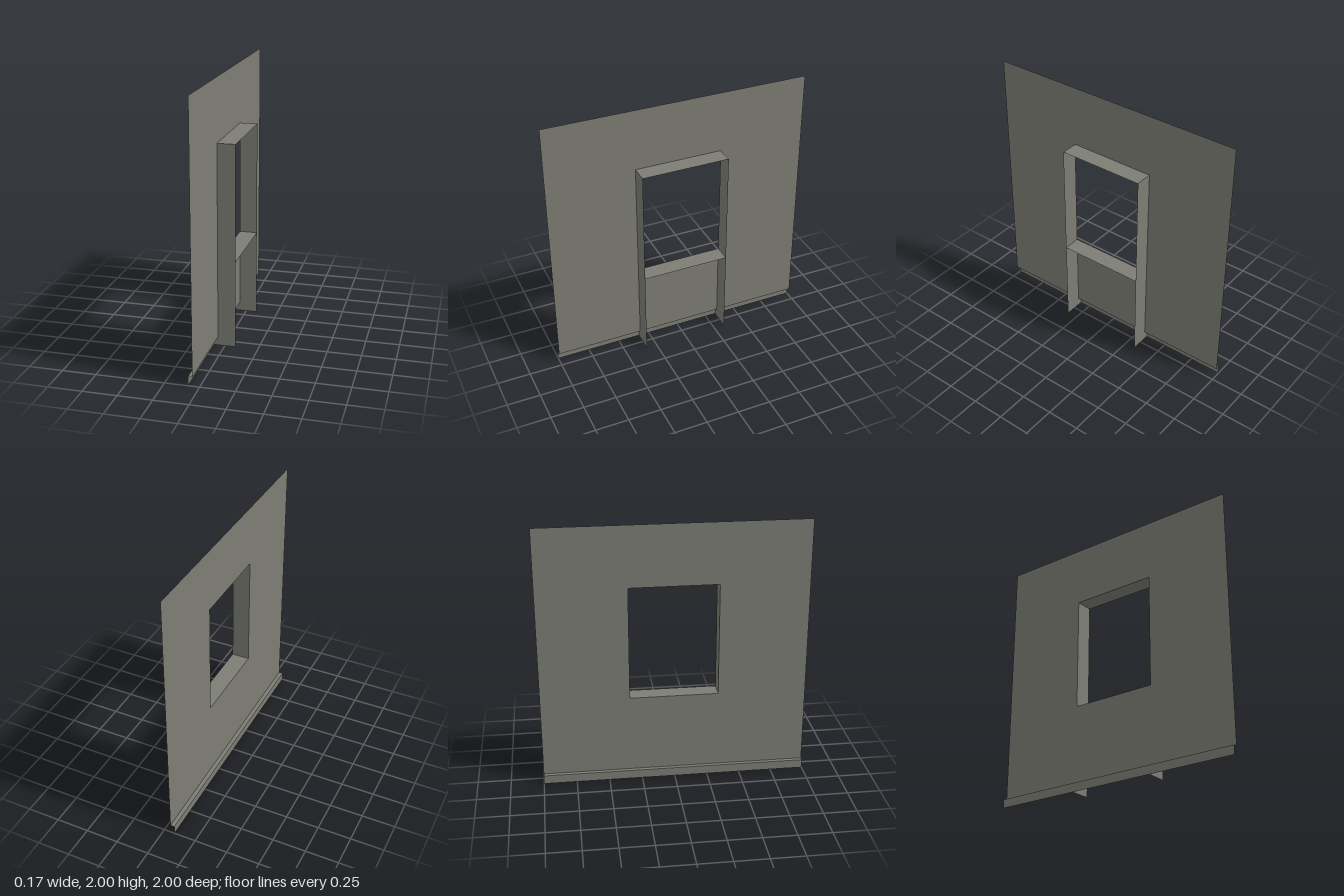
import * as THREE from 'three';

// Key planes: skirting face, wall face and inner edge of the reveal (x)
const SKIRT_X = -0.083, WALL_X = -0.052, REVEAL_X = 0.083;
const SKIRT_Y = 0.067, SILL_Y = 0.667, HEAD_Y = 1.535, TOP_Y = 2;
const HALF_W = 1, HALF_OPEN = 0.333;

function polygon(points) {
  return new THREE.Shape(points.map(([a, b]) => new THREE.Vector2(a, b)));
}

export function createModel() {
  const group = new THREE.Group();
  group.name = 'windowWall';
  const stone = new THREE.MeshStandardMaterial({ color: 0x7d7d75, side: THREE.DoubleSide });
  stone.name = 'warmGrey';

  function add(name, geometry) {
    const mesh = new THREE.Mesh(geometry, stone);
    mesh.name = name;
    group.add(mesh);
    return mesh;
  }

  // Horizontal sheet facing up
  function ledge(name, x0, x1, y, halfZ) {
    const g = new THREE.PlaneGeometry(x1 - x0, halfZ * 2).rotateX(-Math.PI / 2);
    add(name, g).position.set((x0 + x1) / 2, y, 0);
  }

  // Wall sheet with the window opening
  const wall = polygon([[-HALF_W, SKIRT_Y], [HALF_W, SKIRT_Y], [HALF_W, TOP_Y], [-HALF_W, TOP_Y]]);
  wall.holes.push(polygon([
    [-HALF_OPEN, SILL_Y], [-HALF_OPEN, HEAD_Y], [HALF_OPEN, HEAD_Y], [HALF_OPEN, SILL_Y],
  ]));
  add('wall', new THREE.ShapeGeometry(wall).rotateY(-Math.PI / 2)).position.x = WALL_X;

  // Skirting: upright face and its top ledge
  const skirt = new THREE.PlaneGeometry(HALF_W * 2, SKIRT_Y).rotateY(-Math.PI / 2);
  add('skirtingFace', skirt).position.set(SKIRT_X, SKIRT_Y / 2, 0);
  ledge('skirtingLedge', SKIRT_X, WALL_X, SKIRT_Y, HALF_W);

  // Window head and sill
  ledge('windowHead', WALL_X, REVEAL_X, HEAD_Y, HALF_OPEN);
  ledge('windowSill', WALL_X, REVEAL_X, SILL_Y, HALF_OPEN);

  // Side jambs run to the floor, with a foot reaching into the skirting
  const jamb = polygon([
    [SKIRT_X, 0], [REVEAL_X, 0], [REVEAL_X, HEAD_Y],
    [WALL_X, HEAD_Y], [WALL_X, SKIRT_Y], [SKIRT_X, SKIRT_Y],
  ]);
  for (const [name, z] of [['frontJamb', HALF_OPEN], ['backJamb', -HALF_OPEN]]) {
    add(name, new THREE.ShapeGeometry(jamb)).position.z = z;
  }

  return group;
}
